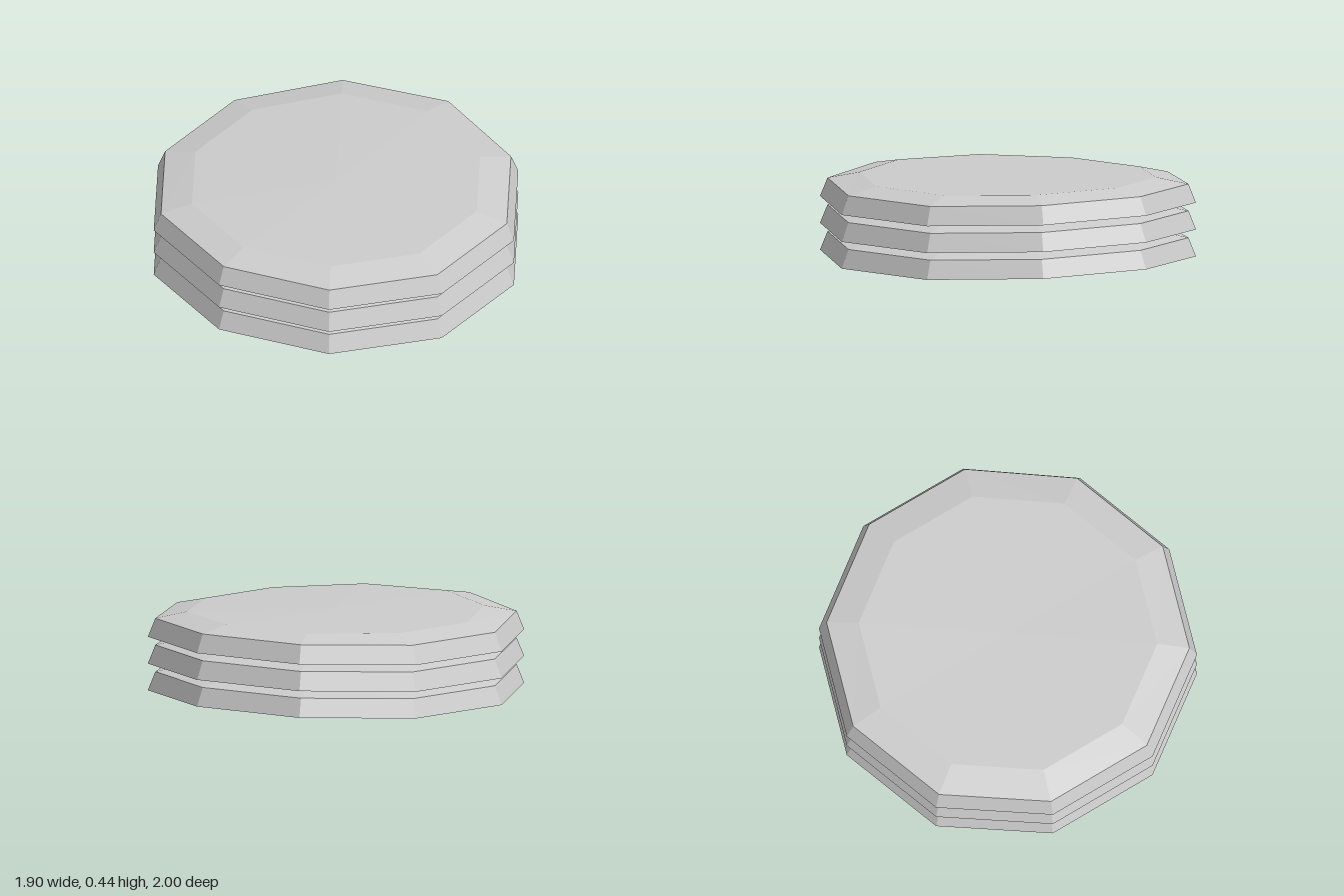
import * as THREE from 'three';

const LAYERS = 3;
const SPACING = 0.143;
const SIDES = 10;

// One ten-sided slab with a bevelled top, sagging gently towards both x ends
function slabGeometry() {
  const profile = [
    [0, 0.025], [1, 0.025], [0.96, 0.123], [0.79, 0.153], [0, 0.153],
  ].map(([r, y]) => new THREE.Vector2(r, y));
  const geometry = new THREE.LatheGeometry(profile, SIDES);
  const pos = geometry.attributes.position;
  for (let i = 0; i < pos.count; i++) {
    const bend = Math.abs(pos.getX(i)) / 0.951;
    pos.setY(i, pos.getY(i) - 0.025 * bend ** 2.2);
  }
  geometry.computeVertexNormals();
  return geometry;
}

export function createModel() {
  const model = new THREE.Group();
  model.name = 'slabStack';
  const material = new THREE.MeshStandardMaterial({ color: 0xcccccc, flatShading: true });
  const geometry = slabGeometry();

  // Identical slabs stacked with a thin gap between them
  for (let i = 0; i < LAYERS; i++) {
    const slab = new THREE.Mesh(geometry, material);
    slab.name = `slab${i + 1}`;
    slab.position.y = i * SPACING;
    model.add(slab);
  }
  return model;
}
